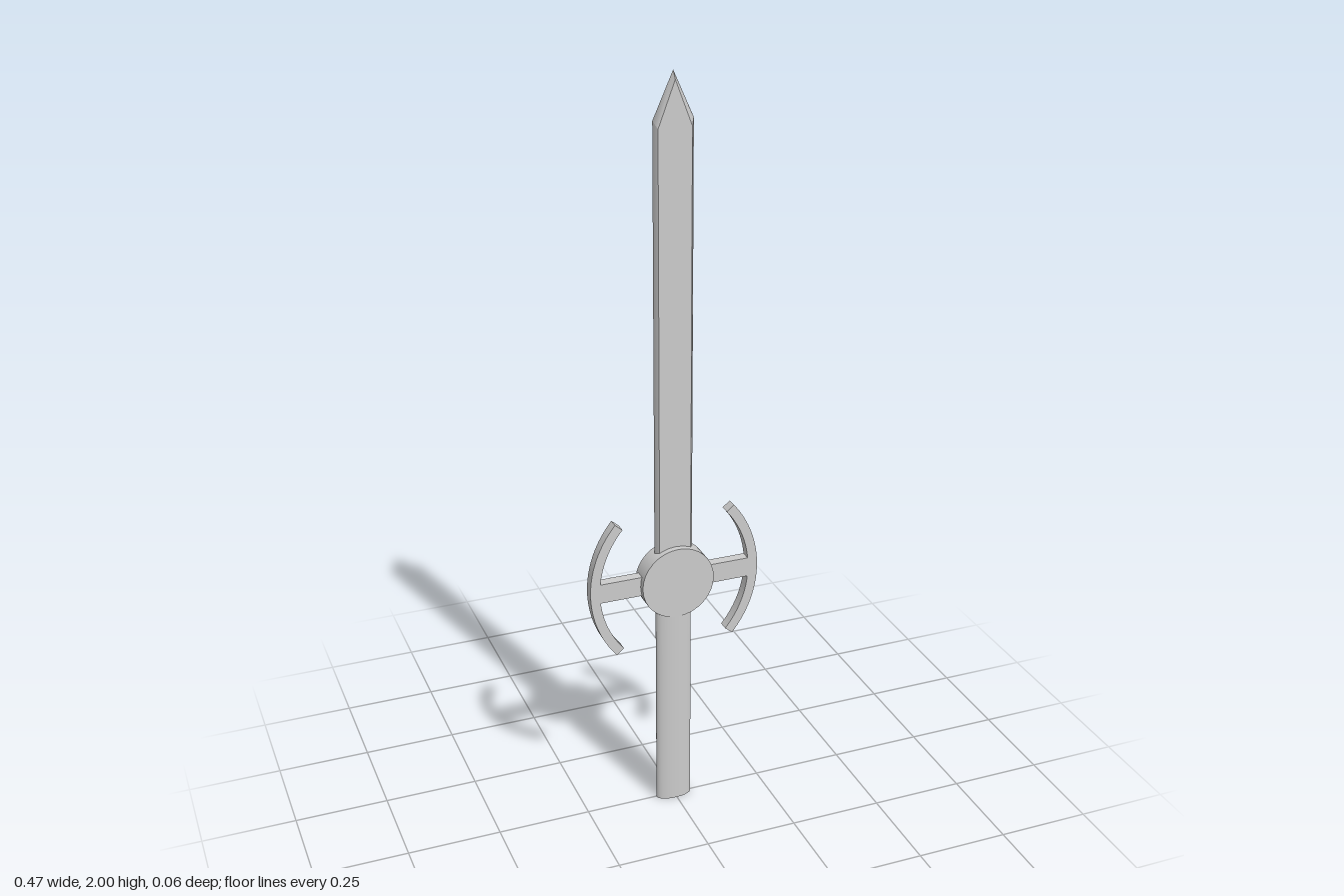
import * as THREE from 'three';

const material = new THREE.MeshStandardMaterial({ color: 0xcccccc });
const HUB_Y = 0.672;   // height of the round hub
const FLAT_Z = -0.005; // mid-plane of blade and guard
const FLAT_T = 0.028;  // thickness of blade and guard

function addMesh(parent, name, geometry, x = 0, y = 0, z = 0) {
  const mesh = new THREE.Mesh(geometry, material);
  mesh.name = name;
  mesh.position.set(x, y, z);
  parent.add(mesh);
  return mesh;
}

// Flat pointed blade: a wide outline in the middle, an inset one on both faces
function bladeGeometry() {
  const outer = [[-0.052, 0.72], [0.052, 0.72], [0.052, 1.885], [0, 2], [-0.052, 1.885]];
  const inset = [[-0.043, 0.72], [0.043, 0.72], [0.043, 1.868], [0, 1.98], [-0.043, 1.868]];
  const h = FLAT_T / 2;
  const positions = [];
  const index = [];
  const n = outer.length;

  // bevelled rim, each side smooth across its ridge and sharp at its ends
  for (let i = 0; i < n; i++) {
    const j = (i + 1) % n;
    const base = positions.length / 3;
    for (const [ring, z] of [[inset, -h], [outer, 0], [inset, h]]) {
      positions.push(...ring[i], z, ...ring[j], z);
    }
    for (const k of [base, base + 2]) {
      index.push(k, k + 1, k + 3, k, k + 3, k + 2);
    }
  }
  // front and back faces
  for (const side of [1, -1]) {
    const base = positions.length / 3;
    inset.forEach((p) => positions.push(...p, side * h));
    for (let i = 1; i < n - 1; i++) {
      if (side > 0) index.push(base, base + i, base + i + 1);
      else index.push(base, base + i + 1, base + i);
    }
  }
  const geometry = new THREE.BufferGeometry();
  geometry.setAttribute('position', new THREE.Float32BufferAttribute(positions, 3));
  geometry.setIndex(index);
  geometry.computeVertexNormals();
  return geometry;
}

// Curved guard bar opening towards the hub, on the +x side
function guardArcGeometry() {
  const cx = -0.064;
  const a = 0.697;
  const shape = new THREE.Shape();
  shape.absarc(cx, 0, 0.297, -a, a, false);
  shape.absarc(cx, 0, 0.271, a, -a, true);
  const geometry = new THREE.ExtrudeGeometry(shape, {
    depth: FLAT_T, bevelEnabled: false, curveSegments: 16,
  });
  return geometry.translate(0, 0, -FLAT_T / 2);
}

export function createModel() {
  const sword = new THREE.Group();
  sword.name = 'sword';

  addMesh(sword, 'blade', bladeGeometry(), 0, 0, FLAT_Z);

  // oval grip
  const grip = new THREE.CylinderGeometry(0.049, 0.049, 0.582, 32);
  grip.scale(1, 1, 0.43);
  addMesh(sword, 'grip', grip, -0.003, 0.291, 0.003);

  // round hub facing the front
  const hub = new THREE.CylinderGeometry(0.099, 0.099, 0.056, 32);
  hub.rotateX(Math.PI / 2);
  addMesh(sword, 'hub', hub, 0.003, HUB_Y, -0.002);

  // guard: a straight arm and a curved bar on each side
  for (const [label, turn] of [['left', 0], ['right', Math.PI]]) {
    const guard = new THREE.Group();
    guard.name = label + 'Guard';
    guard.position.set(0, HUB_Y, FLAT_Z);
    guard.rotation.z = turn;
    addMesh(guard, label + 'GuardArm', new THREE.BoxGeometry(0.16, 0.054, FLAT_T), 0.134);
    addMesh(guard, label + 'GuardArc', guardArcGeometry());
    sword.add(guard);
  }

  return sword;
}
